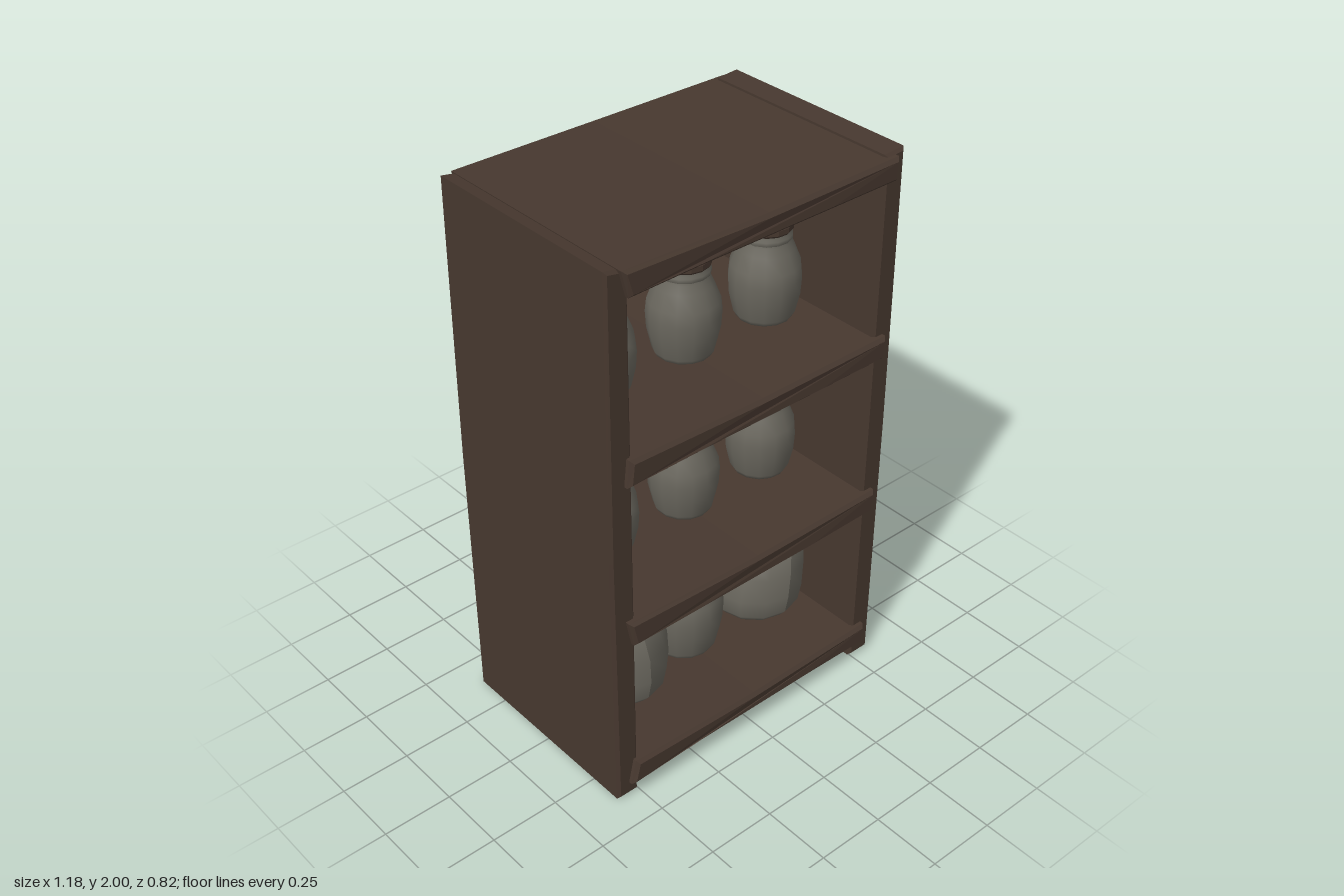
import * as THREE from 'three';

const wood = new THREE.MeshStandardMaterial({ color: 0x47382f, flatShading: true });
wood.name = 'dark wood';
const clay = new THREE.MeshStandardMaterial({ color: 0x6a675e, side: THREE.DoubleSide });
clay.name = 'grey clay';

// Bevelled board: an x-y outline extruded from z0 to z1
function board(name, outline, z0, z1, bevel = 0.01) {
  const shape = new THREE.Shape(outline.map(([x, y]) => new THREE.Vector2(x, y)));
  const geo = new THREE.ExtrudeGeometry(shape, {
    depth: z1 - z0 - 2 * bevel,
    bevelEnabled: true, bevelSegments: 1,
    bevelSize: bevel, bevelThickness: bevel, bevelOffset: -bevel,
  });
  geo.translate(0, 0, z0 + bevel);
  const mesh = new THREE.Mesh(geo, wood);
  mesh.name = name;
  return mesh;
}

// Turned body from [radius, height] pairs
function turned(name, profile, material, sides) {
  const geo = new THREE.LatheGeometry(profile.map(([r, y]) => new THREE.Vector2(r, y)), sides);
  const mesh = new THREE.Mesh(geo, material);
  mesh.name = name;
  return mesh;
}

// Jar with a shoulder, a neck ring and a wooden lid
function makeJar(r, h) {
  const jar = new THREE.Group();
  jar.name = 'jar';
  const scaled = (list) => list.map(([a, b]) => [a * r, b * h]);
  jar.add(turned('jarBody', scaled([
    [0, 0], [0.76, 0], [0.84, 0.05], [0.97, 0.25], [1, 0.42], [0.96, 0.55],
    [0.78, 0.71], [0.68, 0.79], [0.66, 0.83],
  ]), clay, 14));
  jar.add(turned('jarNeckRing', scaled([
    [0.66, 0.81], [0.71, 0.82], [0.71, 0.86], [0.66, 0.88], [0.66, 0.92],
  ]), clay, 14));
  jar.add(turned('jarLid', scaled([
    [0, 0.905], [0.69, 0.905], [0.73, 0.925], [0.73, 0.975], [0.69, 1], [0, 1],
  ]), wood, 14));
  return jar;
}

// Tied sack whose belly leans to one side
function makeSack(lean, neckShift) {
  const sack = turned('sack', [
    [0, 0], [0.14, 0], [0.165, 0.03], [0.174, 0.1], [0.168, 0.19], [0.148, 0.27],
    [0.1, 0.335], [0.05, 0.36], [0.036, 0.375], [0.05, 0.4], [0.03, 0.395], [0, 0.38],
  ], clay, 12);
  const p = sack.geometry.attributes.position;
  for (let i = 0; i < p.count; i++) {
    const y = p.getY(i);
    const belly = Math.sin(Math.PI * Math.min(y / 0.36, 1));
    const rise = Math.min(y / 0.36, 1) ** 2;
    p.setX(i, p.getX(i) + lean * belly + neckShift * rise);
  }
  sack.geometry.computeVertexNormals();
  return sack;
}

export function createModel() {
  const model = new THREE.Group();
  model.name = 'pantryShelf';

  // Side planks
  model.add(board('rightSide',
    [[-0.585, 0], [-0.5, 0], [-0.502, 1], [-0.505, 1.985], [-0.588, 2], [-0.592, 1]], -0.39, 0.38));
  model.add(board('leftSide',
    [[0.495, 0], [0.585, 0], [0.588, 1], [0.582, 2], [0.5, 1.995], [0.5, 1]], -0.385, 0.38));

  // Shelves, slightly bowed, reaching past the sides' front and back edges
  const shelves = [
    { y: 0.06, h: 0.08, skew: -0.01, bow: 0.01 },
    { y: 0.655, h: 0.085, skew: 0.01, bow: 0 },
    { y: 1.27, h: 0.083, skew: -0.005, bow: 0.003 },
    { y: 1.907, h: 0.08, skew: 0.012, bow: 0.003 },
  ];
  for (const { y, h, skew, bow } of shelves) {
    const shelf = board('shelf', [
      [-0.53 + skew, y - 0.005], [-0.25, y + bow], [0.25, y + bow], [0.535, y],
      [0.54, y + h], [0, y + h], [-0.53 - skew, y + h + 0.008],
    ], -0.405, 0.405, 0.012);
    // Front and back edges swell a little at the middle
    const p = shelf.geometry.attributes.position;
    for (let i = 0; i < p.count; i++) {
      p.setZ(i, p.getZ(i) * (1 + 0.015 * (1 - (p.getX(i) / 0.54) ** 2)));
    }
    model.add(shelf);
  }

  // Back slats with open gaps between them
  for (const [a, b] of [[-0.505, -0.238], [-0.138, 0.135], [0.237, 0.505]]) {
    model.add(board('backSlat', [[a, 0.08], [b, 0.08], [b, 1.95], [a, 1.95]], -0.385, -0.35, 0.006));
  }

  // Small jars on the upper two shelves
  for (const y of [0.74, 1.352]) {
    for (const x of [-0.348, 0, 0.348]) {
      const jar = makeJar(0.122, 0.35);
      jar.position.set(x, y, 0.03);
      jar.rotation.y = x * 3;
      model.add(jar);
    }
  }

  // Large jar between two sacks on the bottom shelf
  const bigJar = makeJar(0.143, 0.41);
  bigJar.name = 'largeJar';
  bigJar.position.set(0, 0.138, 0.03);
  model.add(bigJar);

  const rightSack = makeSack(0.012, -0.008);
  rightSack.position.set(-0.318, 0.148, 0.05);
  const leftSack = makeSack(0, 0.065);
  leftSack.position.set(0.342, 0.148, 0.03);
  model.add(rightSack, leftSack);

  return model;
}
